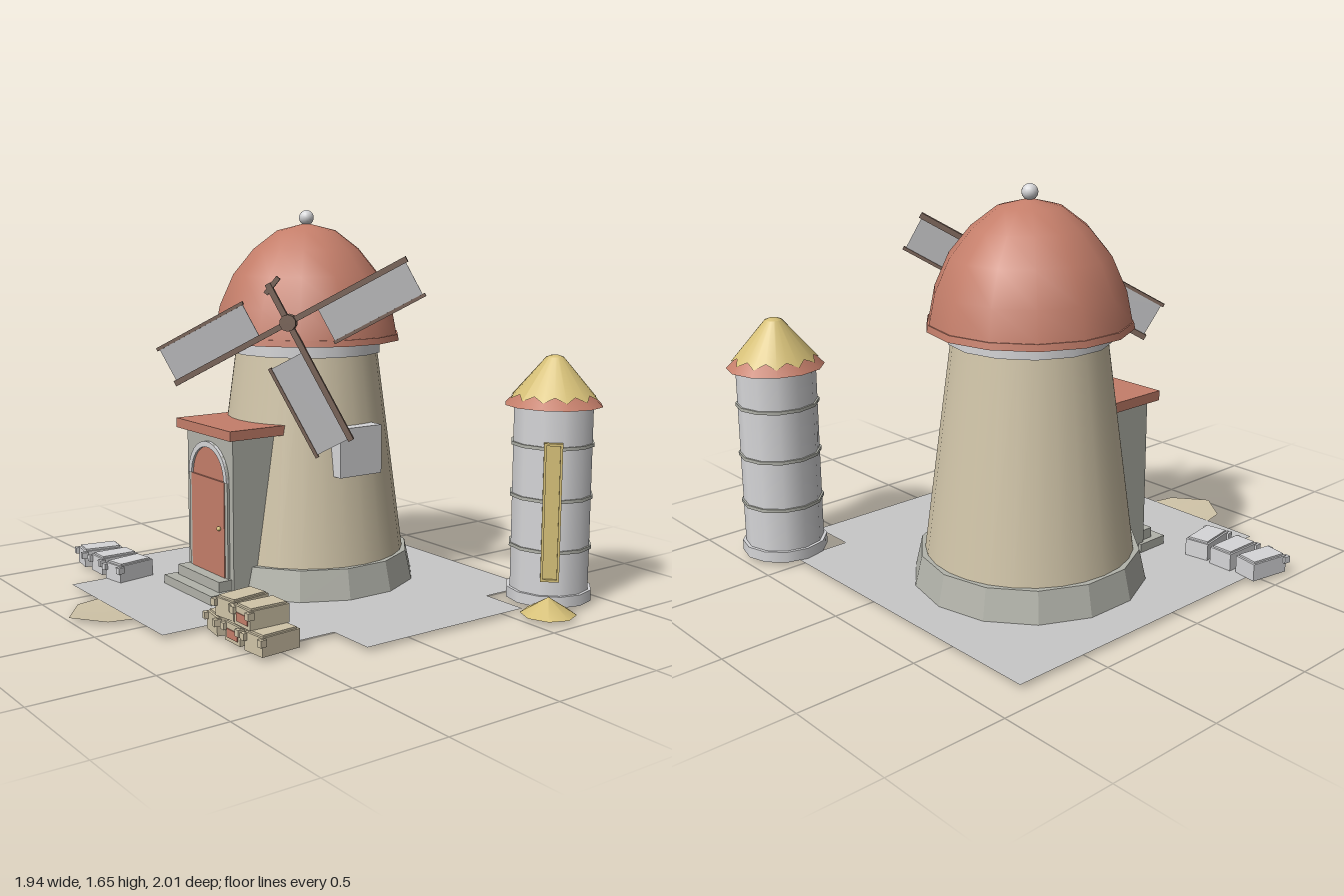
import * as THREE from 'three';

const paint = (name, color) => Object.assign(new THREE.MeshStandardMaterial({ color }), { name });

export function createModel() {
  const root = new THREE.Group();
  root.name = 'windmillYard';
  const terracotta = paint('terracotta', 0xc47e6a);
  const plaster = paint('plaster', 0xd0c4a8);
  const stone = paint('stone', 0xb2b3aa);
  const pale = paint('paleGrey', 0xd6d6d8);
  const sail = paint('sailGrey', 0xb8b8ba);
  const straw = paint('straw', 0xd6c078);
  const timber = paint('timber', 0x7a6458);
  const paving = paint('paving', 0xc8c8c8);
  for (const m of [paving, sail, plaster, straw]) m.side = THREE.DoubleSide;

  const add = (parent, name, geo, mat, x = 0, y = 0, z = 0) => {
    const mesh = new THREE.Mesh(geo, mat);
    mesh.name = name;
    mesh.position.set(x, y, z);
    parent.add(mesh);
    return mesh;
  };
  const group = (name, x = 0, y = 0, z = 0, parent = root) => {
    const g = new THREE.Group();
    g.name = name;
    g.position.set(x, y, z);
    parent.add(g);
    return g;
  };
  // box given by its limits
  const slab = (parent, name, mat, x0, x1, y0, y1, z0, z1) =>
    add(parent, name, new THREE.BoxGeometry(x1 - x0, y1 - y0, z1 - z0), mat,
      (x0 + x1) / 2, (y0 + y1) / 2, (z0 + z1) / 2);
  // upright drum standing between two heights
  const drum = (parent, name, mat, rTop, rBottom, y0, y1, sides = 14, flat = false) => {
    let geo = new THREE.CylinderGeometry(rTop, rBottom, y1 - y0, sides);
    if (flat) {
      geo = geo.toNonIndexed();
      geo.computeVertexNormals();
    }
    return add(parent, name, geo, mat, 0, (y0 + y1) / 2, 0);
  };

  // paved yard
  const yard = new THREE.Shape([
    [-0.895, -0.835], [0.53, -0.835], [0.53, -0.585], [0.74, -0.585], [0.74, 0.23], [0.53, 0.23],
    [0.53, 0.5], [0.175, 0.5], [0.175, 0.795], [-0.645, 0.795], [-0.645, 0.5], [-0.895, 0.5],
  ].map(([x, z]) => new THREE.Vector2(x, -z)));
  add(root, 'pavedYard', new THREE.ShapeGeometry(yard).rotateX(-Math.PI / 2), paving, 0, 0.016, 0);

  // shallow hollow of earth by the doorstep, shaded as a sunken surface
  const hollow = new THREE.ConeGeometry(1, 0.014, 8, 1, true).rotateX(Math.PI).scale(0.2, 1, 0.36);
  const hn = hollow.attributes.normal;
  for (let i = 0; i < hn.count; i++) hn.setXYZ(i, -hn.getX(i), -hn.getY(i), -hn.getZ(i));
  add(root, 'earthHollow', hollow, plaster, -0.235, 0.007, 0.64);

  // tower
  const tower = group('tower', -0.235, 0, -0.18);
  drum(tower, 'towerFooting', stone, 0.46, 0.49, 0.012, 0.145, 14, true);
  drum(tower, 'towerWall', plaster, 0.315, 0.435, 0.14, 1.04, 28);
  drum(tower, 'towerCollar', pale, 0.335, 0.335, 1.03, 1.09, 14);
  drum(tower, 'domeRim', terracotta, 0.415, 0.42, 1.085, 1.112, 14);
  const domeProfile = [[0.41, 1.11], [0.385, 1.235], [0.325, 1.37], [0.235, 1.48], [0.13, 1.56], [0, 1.592]]
    .map(([r, y]) => new THREE.Vector2(r, y));
  add(tower, 'dome', new THREE.LatheGeometry(domeProfile, 14), terracotta);
  add(tower, 'finial', new THREE.SphereGeometry(0.033, 16, 12), pale, 0, 1.615, 0);
  slab(root, 'windowBox', pale, 0.06, 0.175, 0.53, 0.74, -0.285, -0.065);

  // porch, roof and steps
  const porch = group('porch', -0.231, 0, 0);
  slab(porch, 'porchWalls', stone, -0.186, 0.186, 0.015, 0.71, 0.02, 0.33);
  slab(porch, 'porchRoof', terracotta, -0.222, 0.222, 0.705, 0.747, 0.02, 0.365);
  slab(porch, 'lowerStep', stone, -0.2, 0.2, 0.012, 0.055, 0.3, 0.45);
  slab(porch, 'upperStep', stone, -0.172, 0.172, 0.05, 0.1, 0.3, 0.395);

  // arched door with its surround
  const arch = (r, y0) => {
    const s = new THREE.Shape();
    s.moveTo(-r, y0);
    s.lineTo(r, y0);
    s.lineTo(r, 0.515);
    s.absarc(0, 0.515, r, 0, Math.PI);
    return s;
  };
  const plate = (shape, depth) =>
    new THREE.ExtrudeGeometry(shape, { depth, bevelEnabled: false, curveSegments: 10 });
  const surround = arch(0.156, 0.1);
  surround.holes.push(arch(0.135, 0.101));
  add(porch, 'doorSurround', plate(surround, 0.012), stone, 0, 0, 0.328);
  const crown = new THREE.Shape();
  crown.absarc(0, 0.515, 0.156, 0, Math.PI);
  crown.absarc(0, 0.515, 0.132, Math.PI, 0, true);
  add(porch, 'archTrim', plate(crown, 0.016), pale, 0, 0, 0.328);
  add(porch, 'doorArch', plate(arch(0.136, 0.1), 0.006), terracotta, 0, 0, 0.328);
  slab(porch, 'doorLeaf', terracotta, -0.134, 0.134, 0.1, 0.515, 0.33, 0.343);
  add(porch, 'doorKnob', new THREE.SphereGeometry(0.01, 10, 8), straw, 0.1, 0.31, 0.35);

  // sail wheel facing diagonally forward
  const wheel = group('sailWheel', 0.072, 1.19, 0.128);
  wheel.rotation.y = Math.PI / 4;
  const hub = new THREE.CylinderGeometry(0.035, 0.035, 0.05, 10).rotateX(Math.PI / 2);
  add(wheel, 'hub', hub, timber);
  add(wheel, 'axle', new THREE.CylinderGeometry(0.018, 0.018, 0.16, 8).rotateX(Math.PI / 2), timber, 0, 0, -0.08);
  for (const degrees of [28.6, 208.6, 298.6]) {
    const arm = group('sailArm', 0, 0, 0, wheel);
    arm.rotation.z = THREE.MathUtils.degToRad(degrees);
    slab(arm, 'spar', timber, 0, 0.55, -0.012, 0.012, -0.011, 0.011);
    slab(arm, 'sailEdge', timber, 0.13, 0.55, -0.168, -0.154, -0.008, 0.008);
    slab(arm, 'sailPanel', sail, 0.135, 0.54, -0.158, -0.01, -0.003, 0.003);
  }
  const stub = group('brokenArm', 0, 0, 0, wheel);
  stub.rotation.z = THREE.MathUtils.degToRad(118.6);
  slab(stub, 'brokenSpar', timber, 0, 0.18, -0.012, 0.012, -0.011, 0.011);
  const splinter = slab(stub, 'splinter', timber, 0.145, 0.185, -0.055, 0.03, -0.008, 0.008);
  splinter.scale.x = 0.5;
  splinter.rotation.z = 0.4;

  // silo
  const silo = group('silo', 0.678, 0, -0.8);
  drum(silo, 'siloFoot', pale, 0.182, 0.182, 0.018, 0.065, 12);
  drum(silo, 'siloWall', pale, 0.168, 0.168, 0.05, 0.85, 12);
  for (const y of [0.25, 0.465, 0.685]) drum(silo, 'siloHoop', stone, 0.176, 0.176, y - 0.007, y + 0.007, 12);
  drum(silo, 'siloRoof', terracotta, 0.02, 0.206, 0.845, 1.03, 12);
  // thatch with a scalloped lower edge lying on the roof
  const thatch = new THREE.CylinderGeometry(0.036, 0.17, 0.18, 24, 1, true);
  const p = thatch.attributes.position;
  for (let i = 0; i < p.count; i++) {
    if (p.getY(i) > 0) continue;
    const inward = Math.round(Math.atan2(p.getX(i), p.getZ(i)) / (Math.PI / 12)) % 2 !== 0;
    const r = inward ? 0.163 : 0.185;
    const k = r / Math.hypot(p.getX(i), p.getZ(i));
    p.setXYZ(i, p.getX(i) * k, (inward ? 0.894 : 0.872) - 0.955, p.getZ(i) * k);
  }
  thatch.computeVertexNormals();
  add(silo, 'thatch', thatch, straw, 0, 0.955, 0);
  drum(silo, 'thatchTip', straw, 0.018, 0.036, 1.044, 1.052, 12);

  // grain hatch on the diagonal side
  const hatch = group('grainHatch', 0, 0, 0, silo);
  hatch.rotation.y = Math.PI / 4;
  slab(hatch, 'hatchPanel', straw, -0.03, 0.03, 0.135, 0.705, 0.155, 0.174);
  for (const s of [-1, 1]) slab(hatch, 'hatchSide', straw, s * 0.033 - 0.005, s * 0.033 + 0.005, 0.13, 0.71, 0.155, 0.186);
  for (const y of [0.13, 0.7]) slab(hatch, 'hatchEnd', straw, -0.036, 0.036, y, y + 0.01, 0.155, 0.186);

  // spilled grain
  add(root, 'grainPile', new THREE.ConeGeometry(0.115, 0.07, 8), straw, 0.848, 0.05, -0.625);

  // stacked sacks: x, base height, turn, material, tagged
  const sacks = [
    [-0.9, 0.016, -0.17, pale], [-0.755, 0.016, 0, pale], [-0.61, 0.016, 0.17, pale],
    [0.27, 0.016, -0.17, plaster], [0.405, 0.016, 0, plaster, true], [0.545, 0.016, 0.08, plaster],
    [0.335, 0.098, 0.14, plaster], [0.475, 0.098, 0, plaster, true],
  ];
  for (const [x, y, turn, mat, tagged] of sacks) {
    const sack = group('sack', x, y, 0.53);
    sack.rotation.y = turn;
    slab(sack, 'sackBody', mat, -0.054, 0.054, 0, 0.074, -0.09, 0.09);
    slab(sack, 'sackTop', mat, -0.046, 0.046, 0.07, 0.082, -0.08, 0.08);
    for (const s of [-1, 1]) slab(sack, 'sackEar', mat, s * 0.052 - 0.012, s * 0.052 + 0.012, 0.042, 0.07, 0.075, 0.105);
    if (tagged) slab(sack, 'sackTag', terracotta, -0.035, 0.04, 0.015, 0.05, 0.088, 0.094);
  }
  return root;
}
